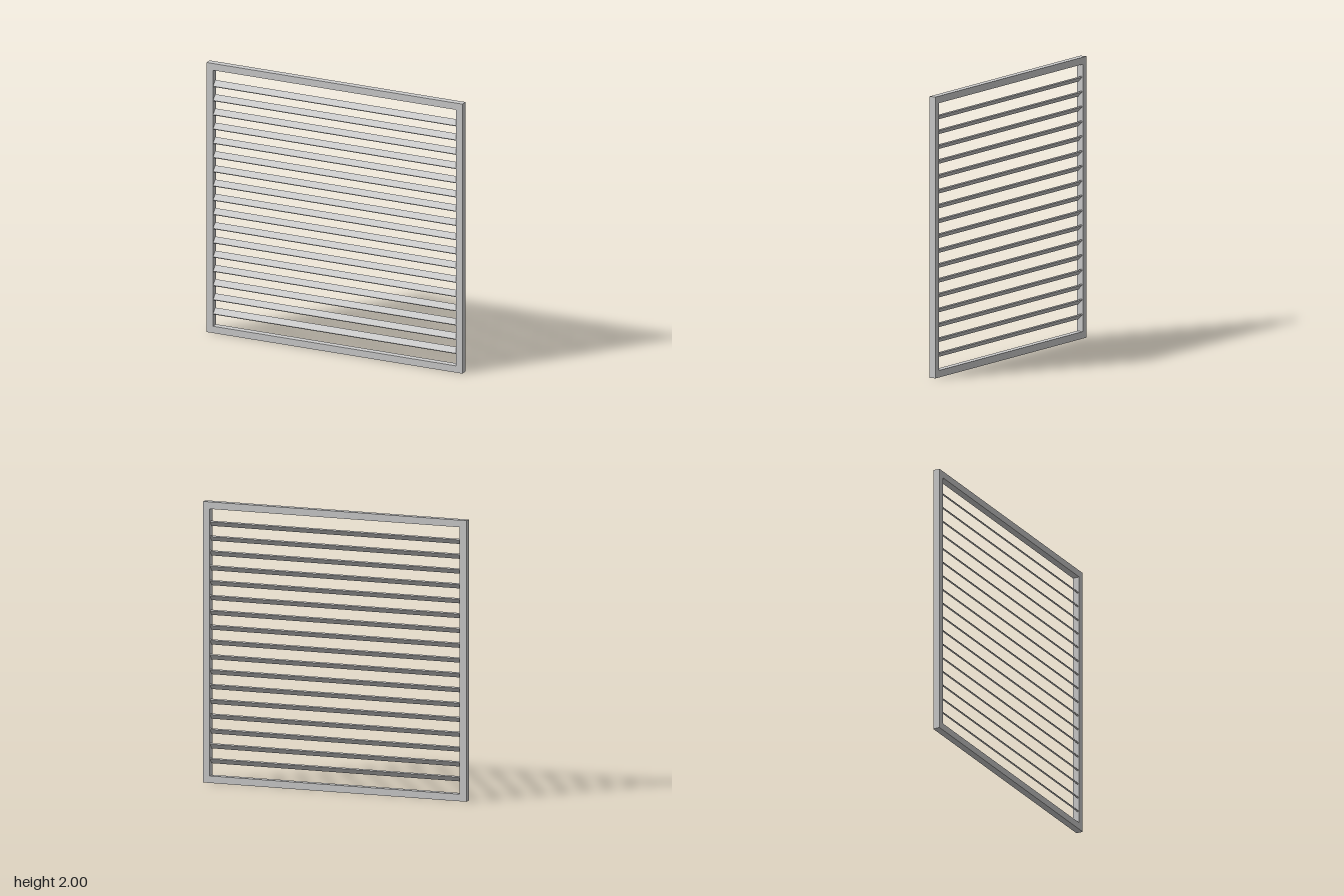
import * as THREE from 'three';

const SIZE = 2, BORDER = 0.05, DEPTH = 0.05, SLATS = 17;

function rectangle(PathType, inset) {
  const a = -SIZE / 2 + inset, b = SIZE / 2 - inset, low = inset, high = SIZE - inset;
  return new PathType([[a, low], [b, low], [b, high], [a, high]].map(([x, y]) => new THREE.Vector2(x, y)));
}

export function createModel() {
  const model = new THREE.Group();
  model.name = 'louverPanel';
  const material = new THREE.MeshStandardMaterial({ color: 0xcccccc });

  // Square outer frame with one opening
  const outline = rectangle(THREE.Shape, 0);
  outline.holes.push(rectangle(THREE.Path, BORDER));
  const frameGeometry = new THREE.ExtrudeGeometry(outline, { depth: DEPTH, bevelEnabled: false });
  frameGeometry.translate(0, 0, -DEPTH / 2);
  const frame = new THREE.Mesh(frameGeometry, material);
  frame.name = 'frame';
  model.add(frame);

  // Evenly spaced slats, tilted down towards the front
  const opening = SIZE - 2 * BORDER;
  const slatGeometry = new THREE.BoxGeometry(opening, 0.01, 0.05);
  const slats = new THREE.Group();
  slats.name = 'slats';
  for (let i = 1; i <= SLATS; i++) {
    const slat = new THREE.Mesh(slatGeometry, material);
    slat.name = `slat${i}`;
    slat.position.y = BORDER + (opening * i) / (SLATS + 1);
    slat.rotation.x = Math.PI / 4;
    slats.add(slat);
  }
  model.add(slats);

  return model;
}
